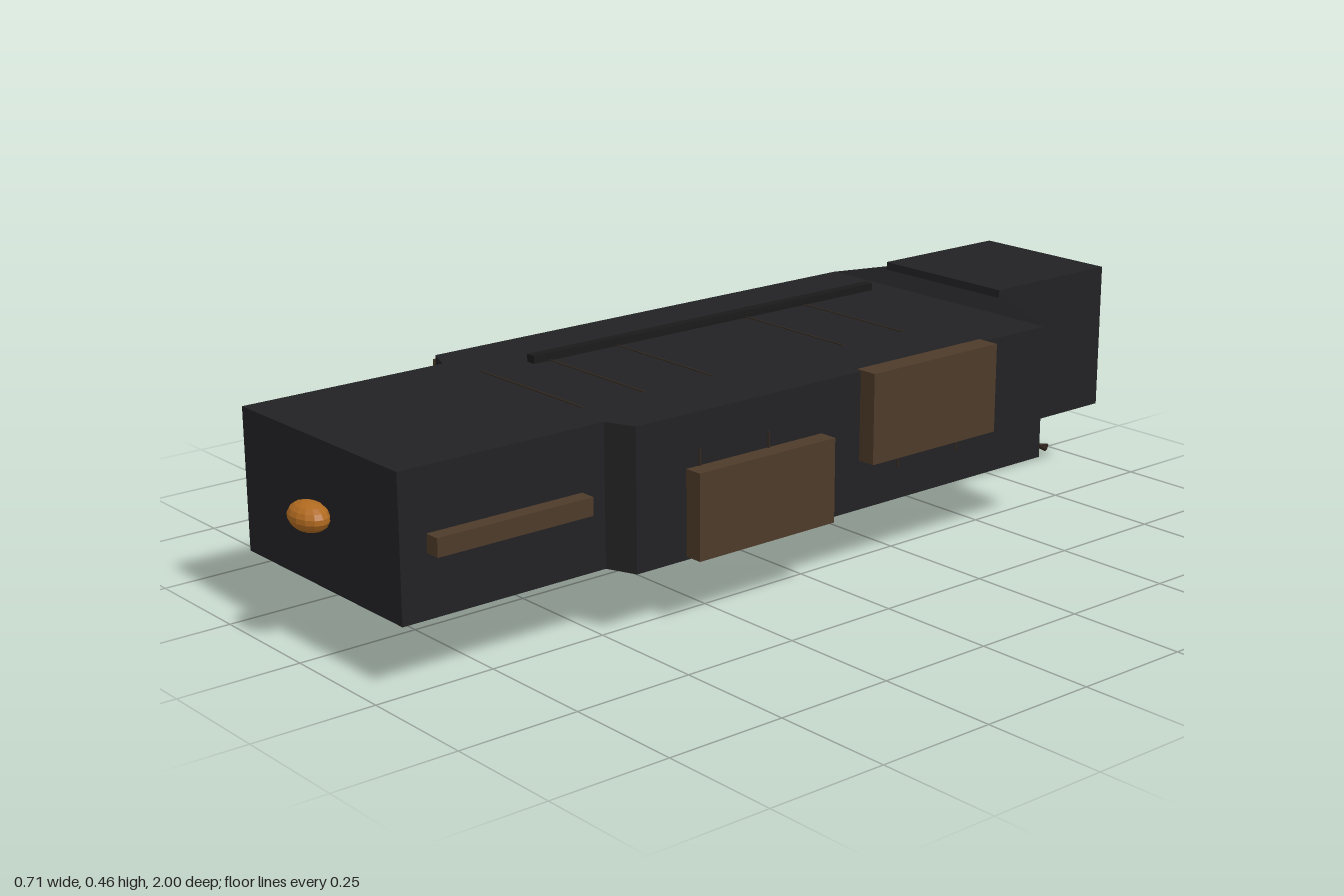
import * as THREE from 'three';

const paint = (color) => new THREE.MeshStandardMaterial({ color, flatShading: true });

// Skin between cross-sections ordered from back to front; capped at both ends
function loft(sections) {
  const rings = sections.map(({ z, w, c, b, t }) =>
    [[w, b], [w, t], [c, t], [-c, t], [-w, t], [-w, b]].map(([x, y]) => [x, y, z]));
  const n = rings[0].length, pos = [];
  for (let s = 0; s < rings.length - 1; s++) {
    const A = rings[s], B = rings[s + 1];
    for (let i = 0; i < n; i++) {
      const j = (i + 1) % n;
      pos.push(...A[i], ...A[j], ...B[i], ...A[j], ...B[j], ...B[i]);
    }
  }
  const back = rings[0], front = rings[rings.length - 1];
  for (let i = 1; i < n - 1; i++) {
    pos.push(...front[0], ...front[i], ...front[i + 1]);
    pos.push(...back[0], ...back[i + 1], ...back[i]);
  }
  const g = new THREE.BufferGeometry();
  g.setAttribute('position', new THREE.Float32BufferAttribute(pos, 3));
  g.computeVertexNormals();
  return g;
}

export function createModel() {
  const model = new THREE.Group();
  model.name = 'spacecraft';
  const dark = paint(0x222224), trim = paint(0x1a1a1b), brown = paint(0x4d3a2a);
  const seam = paint(0x30271f), orange = paint(0xb06a20), rodMat = paint(0x2a2018);

  const add = (name, geometry, material) => {
    const m = new THREE.Mesh(geometry, material);
    m.name = name;
    model.add(m);
    return m;
  };
  // Box given by its limits on each axis
  const box = (name, mat, x0, x1, y0, y1, z0, z1) => {
    const m = add(name, new THREE.BoxGeometry(x1 - x0, y1 - y0, z1 - z0), mat);
    m.position.set((x0 + x1) / 2, (y0 + y1) / 2, (z0 + z1) / 2);
    return m;
  };
  const rod = (name, a, b, r) => {
    const p = new THREE.Vector3(...a), q = new THREE.Vector3(...b);
    add(name, new THREE.TubeGeometry(new THREE.LineCurve3(p, q), 1, r, 6), rodMat);
  };

  // Hull: narrow nose, wide middle, sloping shoulder at the back
  add('hull', loft([
    { z: -0.64, w: 0.17, c: 0.168, b: 0.15, t: 0.453 },
    { z: -0.615, w: 0.318, c: 0.26, b: 0.133, t: 0.417 },
    { z: 0.47, w: 0.318, c: 0.26, b: 0.133, t: 0.417 },
    { z: 0.495, w: 0.257, c: 0.24, b: 0.133, t: 0.417 },
    { z: 0.943, w: 0.257, c: 0.24, b: 0.133, t: 0.417 },
  ]), dark);
  box('rearBlock', dark, -0.17, 0.17, 0.15, 0.463, -0.963, -0.635);

  // Long rail on the roof
  box('roofRail', trim, -0.16, -0.138, 0.41, 0.433, -0.56, 0.36);

  // Thin seams over the roof, under the belly and down the sides
  for (const z of [-0.36, -0.195, 0.15, 0.32, 0.47]) {
    box('roofSeam', seam, -0.16, 0.16, 0.415, 0.419, z - 0.002, z + 0.002);
    box('bellySeam', trim, -0.16, 0.16, 0.13, 0.135, z - 0.002, z + 0.002);
    if (z < 0.4) for (const s of [-1, 1])
      box('sideSeam', seam, s * 0.319 - 0.002, s * 0.319 + 0.002, 0.2, 0.345, z - 0.002, z + 0.002);
  }

  // Staggered side panels
  box('leftRearPanel', brown, 0.308, 0.357, 0.235, 0.42, -0.432, -0.09);
  box('leftFrontPanel', brown, 0.315, 0.357, 0.14, 0.312, 0.012, 0.352);
  box('rightRearPanel', brown, -0.357, -0.315, 0.152, 0.325, -0.52, -0.2);
  box('rightFrontPanel', brown, -0.357, -0.315, 0.225, 0.397, 0.15, 0.45);

  // Side bars on the nose
  box('leftNoseBar', brown, 0.25, 0.29, 0.257, 0.293, 0.547, 0.887);
  box('rightNoseBar', brown, -0.281, -0.25, 0.273, 0.3, 0.507, 0.782);

  // Nose lamp
  const lamp = add('noseLamp', new THREE.SphereGeometry(1, 14, 9), orange);
  lamp.scale.set(0.051, 0.029, 0.034);
  lamp.position.set(0, 0.275, 0.966);

  // Rear hatch ring with a small lamp in it
  const oct = (r) => Array.from({ length: 8 }, (_, i) => {
    const a = (i + 0.5) * Math.PI / 4;
    return new THREE.Vector2(Math.cos(a) * r * 0.85, Math.sin(a) * r);
  });
  const ring = new THREE.Shape(oct(0.065));
  ring.holes.push(new THREE.Path(oct(0.056)));
  add('rearRing', new THREE.ExtrudeGeometry(ring, { depth: 0.01, bevelEnabled: false }), trim)
    .position.set(0, 0.31, -0.971);
  box('rearLamp', brown, -0.016, 0.016, 0.268, 0.296, -0.97, -0.96);

  // Trailing strut: two rods and a pointed foot
  for (const s of [-1, 1]) {
    rod('strutRod', [s * 0.02, 0.152, -0.695], [s * 0.02, 0.004, -0.97], 0.0045);
    rod('strutFoot', [s * 0.02, 0.004, -0.97], [0, 0.004, -0.998], 0.0035);
  }
  return model;
}
